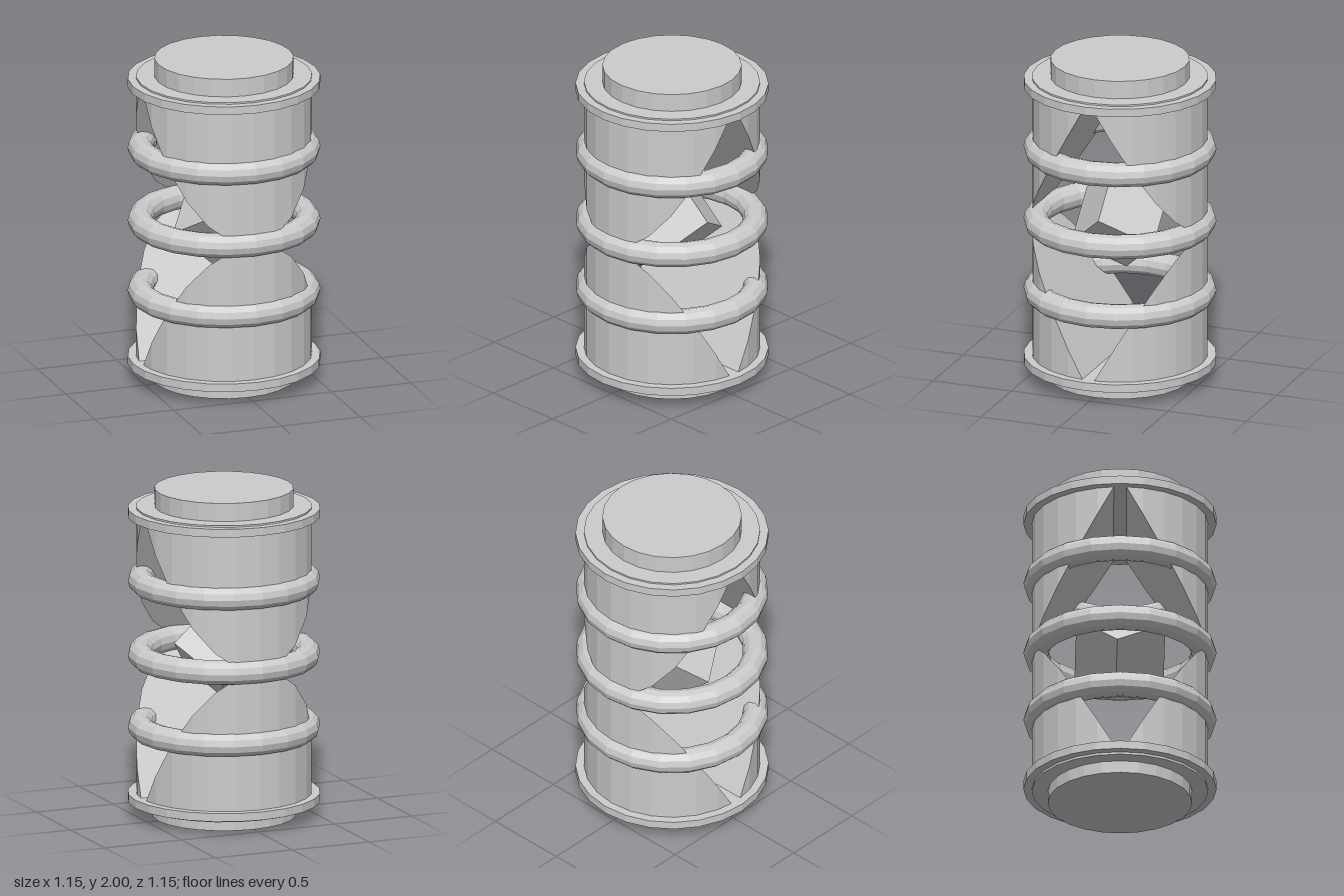
import * as THREE from 'three';

const SIDES = 24;
const R = 0.525;       // body radius
const MID = 0.985;     // height of the waist
const HALF = 0.85;     // height of half the body
const APEX = 0.035;    // half width of the cutout at its ends

const mat = new THREE.MeshStandardMaterial({ color: 0xcccccc, flatShading: true });

function add(group, name, geo, y = 0) {
  const mesh = new THREE.Mesh(geo, mat);
  mesh.name = name;
  mesh.position.y = y;
  group.add(mesh);
  return mesh;
}

function disc(group, name, radius, y0, y1) {
  return add(group, name, new THREE.CylinderGeometry(radius, radius, y1 - y0, SIDES), (y0 + y1) / 2);
}

// Upper front quarter of the body: a round wall cut off by a slanting plane
function bodyQuarter() {
  const step = (Math.PI * 2) / SIDES;
  const angles = [];
  for (let i = 0; i < SIDES / 4; i++) angles.push(i * step);
  angles.push(Math.acos(APEX / R));

  const low = (a, s) => {
    const z = R * Math.cos(a);
    return [s * R * Math.sin(a), (HALF * (R - z)) / (R - APEX), z];
  };
  const high = (a, s) => [s * R * Math.sin(a), HALF, R * Math.cos(a)];

  const pos = [];
  const quad = (a, b, c, d) => pos.push(...a, ...b, ...c, ...a, ...c, ...d);
  for (let i = 0; i < angles.length - 1; i++) {
    const a = angles[i], b = angles[i + 1];
    // outer wall on both sides
    quad(low(a, 1), low(b, 1), high(b, 1), high(a, 1));
    quad(low(b, -1), low(a, -1), high(a, -1), high(b, -1));
    // slanting cut face
    quad(low(a, 1), low(a, -1), low(b, -1), low(b, 1));
    // flat end under the flange
    quad(high(a, -1), high(a, 1), high(b, 1), high(b, -1));
  }
  const geo = new THREE.BufferGeometry();
  geo.setAttribute('position', new THREE.Float32BufferAttribute(pos, 3));
  geo.computeVertexNormals();
  return geo;
}

export function createModel() {
  const model = new THREE.Group();
  model.name = 'canister';

  // End caps and flanges
  disc(model, 'bottomCap', 0.43, 0, 0.08);
  disc(model, 'bottomPlate', R, 0.075, 0.1);
  disc(model, 'bottomFlange', 0.575, 0.09, 0.14);
  disc(model, 'topFlange', 0.575, 1.83, 1.88);
  disc(model, 'topPlate', R, 1.87, 1.89);
  disc(model, 'topCap', 0.415, 1.885, 2);

  // Body with a diamond opening through both sides
  const quarter = bodyQuarter();
  for (const flip of [0, Math.PI]) {
    for (const turn of [0, Math.PI]) {
      const part = add(model, flip ? 'lowerBody' : 'upperBody', quarter, MID);
      part.rotation.set(flip, turn, 0);
    }
  }

  // Rings around the body
  for (const y of [0.545, MID, 1.44]) {
    const ring = new THREE.TorusGeometry(0.5, 0.075, 12, 20);
    ring.rotateX(Math.PI / 2);
    add(model, 'ring', ring, y);
  }

  // Tilted cube floating in the opening
  const core = add(model, 'coreCube', new THREE.BoxGeometry(0.376, 0.376, 0.376), 1);
  const a = new THREE.Vector3(-53, 47, 2).normalize();
  const c = a.clone().cross(new THREE.Vector3(-32, -33, -54)).normalize();
  const b = c.clone().cross(a);
  core.quaternion.setFromRotationMatrix(new THREE.Matrix4().makeBasis(a, b, c));

  return model;
}
